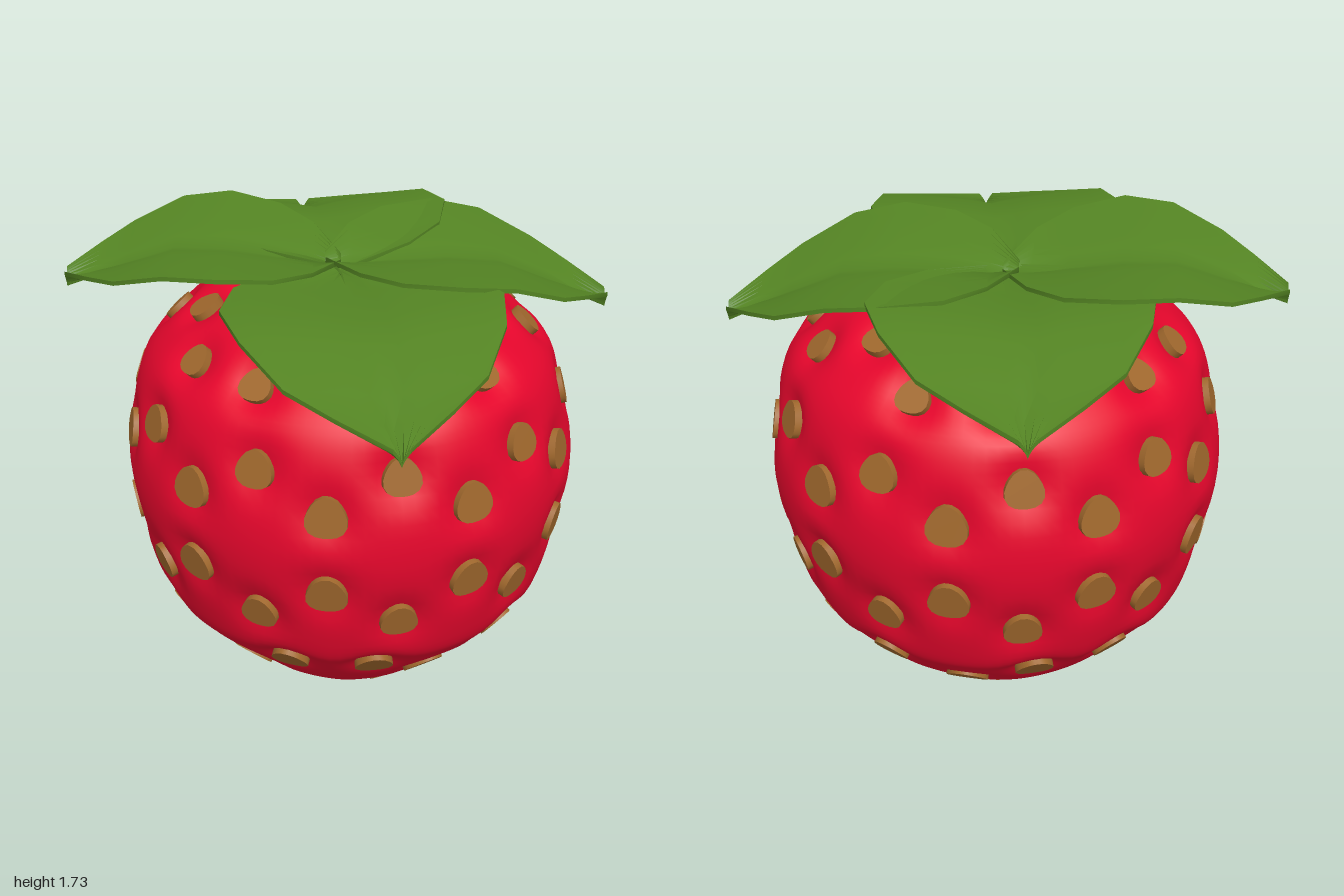
import * as THREE from 'three';
import { mergeVertices, toCreasedNormals } from 'three/addons/utils/BufferGeometryUtils.js';

const red = new THREE.MeshStandardMaterial({ name: 'berry red', color: 0xe6062c });
const brown = new THREE.MeshStandardMaterial({ name: 'seed brown', color: 0xa0682d });
const green = new THREE.MeshStandardMaterial({ name: 'leaf green', color: 0x548423 });

// Berry outline (radius, height), bottom to top
const profile = new THREE.SplineCurve([
  [0, 0], [0.06, 0.012], [0.13, 0.048], [0.265, 0.143], [0.475, 0.32], [0.625, 0.48], [0.695, 0.605],
  [0.76, 0.967], [0.7, 1.3], [0.59, 1.45], [0.465, 1.54], [0.36, 1.575], [0.2, 1.58], [0, 1.582],
].map(([r, y]) => new THREE.Vector2(r, y)));

// Rows of seeds: height, first angle in degrees, count, size
const rows = [
  [0.155, 18, 5, 1], [0.35, 18, 5, 1.08], [0.48, -5, 5, 0.95], [0.48, -31, 5, 0.95],
  [0.715, 0, 10, 0.92], [0.835, 18, 10, 1], [1.11, 18, 10, 1], [1.23, 0, 10, 0.92],
  [1.445, 5, 5, 0.82], [1.445, 31, 5, 0.82], [1.53, 54, 5, 0.85], [1.579, 54, 5, 0.8],
];

// Position and outward direction of every seed on the berry
function seedSites() {
  const fine = profile.getPoints(3000);
  const sites = [];
  for (const [y, start, count, size] of rows) {
    const k = fine.findIndex((p) => p.y >= y);
    const p = fine[k];
    const tangent = fine[k + 1].clone().sub(fine[k - 1]).normalize();
    for (let i = 0; i < count; i++) {
      const a = THREE.MathUtils.degToRad(start + (360 / count) * i);
      const s = Math.sin(a), c = Math.cos(a);
      sites.push({
        size,
        point: new THREE.Vector3(p.x * s, p.y, p.x * c),
        normal: new THREE.Vector3(tangent.y * s, -tangent.x, tangent.y * c),
        up: new THREE.Vector3(tangent.x * s, tangent.y, tangent.x * c),
      });
    }
  }
  return sites;
}

// Lathed body pressed in around each seed
function berryGeometry(sites) {
  const outline = profile.getPoints(110);
  outline[0].x = outline[110].x = 0;
  let geo = new THREE.LatheGeometry(outline, 120);
  geo.deleteAttribute('uv');
  geo.deleteAttribute('normal');
  geo = mergeVertices(geo, 1e-5);
  const pos = geo.attributes.position;
  const v = new THREE.Vector3();
  const push = new THREE.Vector3();
  for (let i = 0; i < pos.count; i++) {
    v.fromBufferAttribute(pos, i);
    push.set(0, 0, 0);
    for (const { point, normal } of sites) {
      const d = v.distanceTo(point) / 0.085;
      if (d < 3) push.addScaledVector(normal, -0.038 * Math.exp(-d * d));
    }
    v.add(push);
    pos.setXYZ(i, v.x, v.y, v.z);
  }
  geo.computeVertexNormals();
  return geo;
}

// Rounded, slightly pointed pip
function seedGeometry() {
  const pts = [];
  for (let i = 0; i < 18; i++) {
    const a = (i / 18) * Math.PI * 2;
    const r = 0.065 * (1 + 0.07 * Math.cos(3 * (a - Math.PI / 2)));
    pts.push(new THREE.Vector2(r * Math.cos(a), r * Math.sin(a)));
  }
  const geo = new THREE.ExtrudeGeometry(new THREE.Shape(pts), { depth: 0.05, bevelEnabled: false });
  geo.translate(0, 0, -0.052);
  return toCreasedNormals(geo, 0.7);
}

// Leaf stations from base to tip: half width, midrib height, edge height, distance
const leafPath = [
  [0.03, 1.61, 1.645, 0], [0.24, 1.612, 1.668, 0.1], [0.37, 1.62, 1.68, 0.23], [0.43, 1.627, 1.685, 0.42],
  [0.39, 1.612, 1.66, 0.6], [0.29, 1.54, 1.587, 0.78], [0.165, 1.497, 1.542, 0.89], [0.025, 1.45, 1.495, 1],
];

// Thin leaf with a groove along its midrib, bent from a box
function leafGeometry(length, lift) {
  const n = leafPath.length - 1;
  const geo = new THREE.BoxGeometry(2, 1, 1, 12, 1, n);
  const pos = geo.attributes.position;
  for (let i = 0; i < pos.count; i++) {
    const u = pos.getX(i);
    const [w, rib, edge, t] = leafPath[Math.round((pos.getZ(i) + 0.5) * n)];
    const fold = (edge - rib) * Math.pow(Math.abs(u), 0.7);
    const y = rib + fold + lift * t + (pos.getY(i) - 0.5) * 0.014;
    pos.setXYZ(i, u * w, y, t * length);
  }
  return toCreasedNormals(geo, 0.8);
}

export function createModel() {
  const model = new THREE.Group();
  model.name = 'strawberry';

  const fruit = new THREE.Group();
  fruit.name = 'fruit';
  fruit.position.set(0.02, 0, -0.03);
  fruit.scale.z = 1.025;
  model.add(fruit);

  const sites = seedSites();
  const berry = new THREE.Mesh(berryGeometry(sites), red);
  berry.name = 'berry';
  fruit.add(berry);

  // Seeds turned to face outward
  const pip = seedGeometry();
  const basis = new THREE.Matrix4();
  for (const { point, normal, up, size } of sites) {
    const seed = new THREE.Mesh(pip, brown);
    seed.name = 'seed';
    basis.makeBasis(new THREE.Vector3().crossVectors(up, normal), up, normal);
    seed.quaternion.setFromRotationMatrix(basis);
    seed.position.copy(point);
    seed.scale.set(size, size, 1);
    fruit.add(seed);
  }

  // Four leaves: name, base x z, tip x z, tip lift, height offset
  const leaves = [
    ['frontLeaf', -0.01, -0.03, -0.06, 0.995, 0.015, -0.02],
    ['backLeaf', 0, -0.03, 0.045, -1, 0.06, -0.018],
    ['leftLeaf', -0.05, -0.08, 0.885, 0.055, 0, 0.004],
    ['rightLeaf', 0, -0.07, -0.885, -0.25, 0.11, -0.004],
  ];
  for (const [name, x0, z0, x1, z1, lift, dy] of leaves) {
    const leaf = new THREE.Mesh(leafGeometry(Math.hypot(x1 - x0, z1 - z0), lift), green);
    leaf.name = name;
    leaf.position.set(x0, dy, z0);
    leaf.rotation.y = Math.atan2(x1 - x0, z1 - z0);
    model.add(leaf);
  }
  return model;
}
